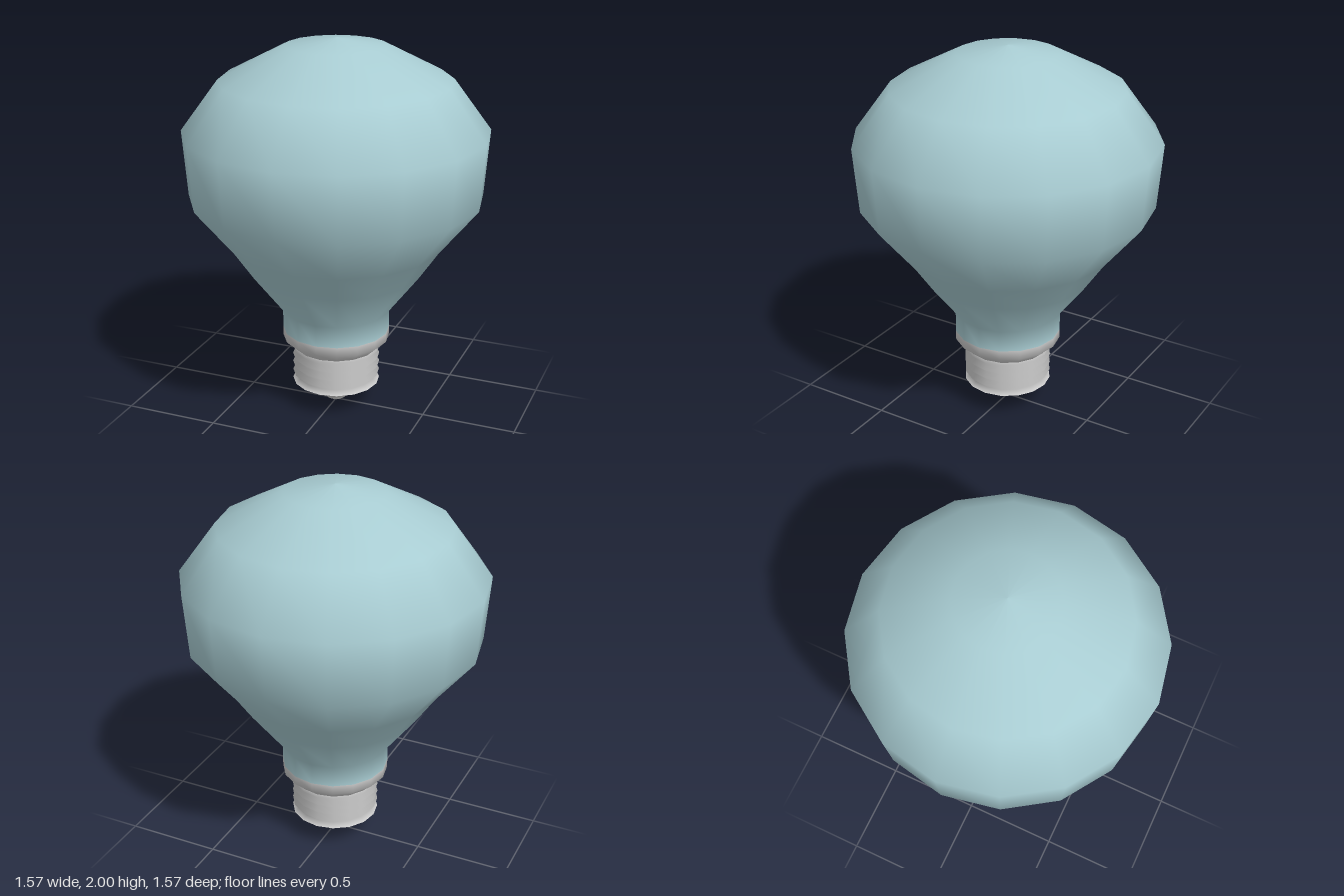
import * as THREE from 'three';

const SIDES = 16;

// Smooth surface of revolution from [radius, height] pairs, listed bottom to top
function turned(name, profile, material) {
  const points = profile.map(([r, y]) => new THREE.Vector2(r, y));
  const mesh = new THREE.Mesh(new THREE.LatheGeometry(points, SIDES), material);
  mesh.name = name;
  return mesh;
}

export function createModel() {
  const bulb = new THREE.Group();
  bulb.name = 'lightBulb';
  const glass = new THREE.MeshStandardMaterial({ color: 0xa8ccd2 });
  const metal = new THREE.MeshStandardMaterial({ color: 0xcccccc });

  // Glass envelope: straight neck, flared shoulder, domed crown
  bulb.add(turned('glassEnvelope', [
    [0.284, 0.44], [0.284, 0.555], [0.455, 0.78], [0.56, 0.935], [0.761, 1.185],
    [0.787, 1.527], [0.594, 1.788], [0.257, 1.962], [0, 2],
  ], glass));

  // Collar that holds the neck
  bulb.add(turned('collar', [
    [0.215, 0.32], [0.23, 0.342], [0.284, 0.39], [0.284, 0.44],
  ], metal));

  // Screw threads: alternating crests and grooves
  const threads = [];
  for (let i = 0; i < 5; i++) {
    const y = 0.135 + i * 0.048;
    threads.push([0.234, y], [0.21, y + 0.024]);
  }
  bulb.add(turned('screwThreads', threads, metal));

  // Stepped underside and contact tip
  bulb.add(turned('contactTip', [
    [0, 0], [0.035, 0.01], [0.054, 0.022], [0.054, 0.04], [0.105, 0.068],
    [0.107, 0.092], [0.22, 0.13], [0.234, 0.135],
  ], metal));

  return bulb;
}
